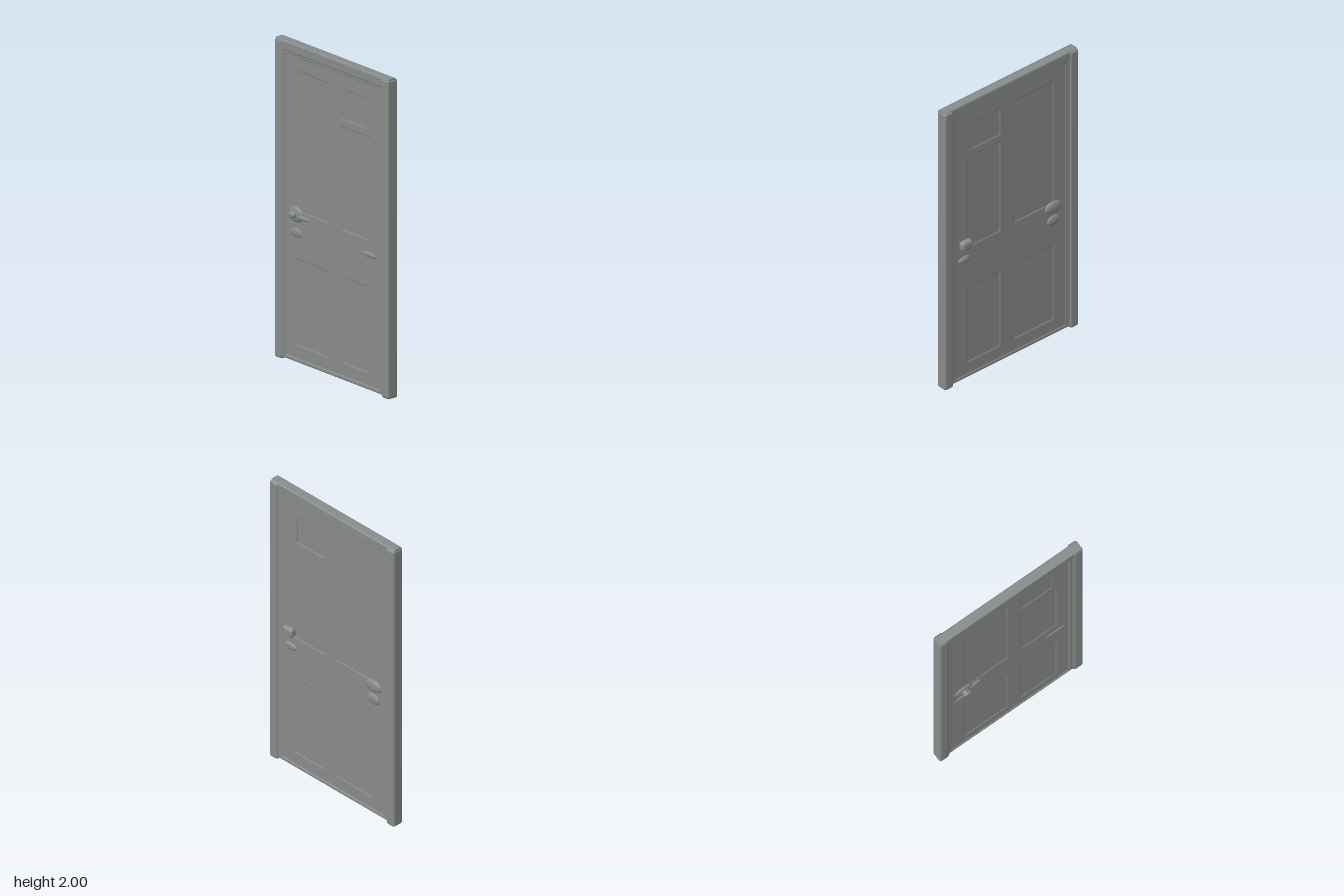
import * as THREE from 'three';
import { RoundedBoxGeometry } from 'three/addons/geometries/RoundedBoxGeometry.js';

const grey = new THREE.MeshStandardMaterial({ color: 0x878b89 });
grey.name = 'grey paint';

function add(group, name, geometry, x = 0, y = 0, z = 0) {
  const mesh = new THREE.Mesh(geometry, grey);
  mesh.name = name;
  mesh.position.set(x, y, z);
  group.add(mesh);
  return mesh;
}

function rectPath(path, x0, y0, x1, y1) {
  path.moveTo(x0, y0);
  path.lineTo(x1, y0);
  path.lineTo(x1, y1);
  path.lineTo(x0, y1);
  path.closePath();
  return path;
}

// Inverted U shape: two legs and a head, open at the bottom
function archShape(outer, top, inner, head, bottom) {
  const s = new THREE.Shape();
  s.moveTo(-outer, bottom);
  s.lineTo(-inner, bottom);
  s.lineTo(-inner, head);
  s.lineTo(inner, head);
  s.lineTo(inner, bottom);
  s.lineTo(outer, bottom);
  s.lineTo(outer, top);
  s.lineTo(-outer, top);
  s.closePath();
  return s;
}

// Extrusion whose bevel stays inside the z range z0..z1
function extrude(shape, z0, z1, bevel) {
  const g = new THREE.ExtrudeGeometry(shape, {
    depth: z1 - z0 - 2 * bevel, bevelThickness: bevel, bevelSize: bevel,
    bevelOffset: -bevel, bevelSegments: 3
  });
  return g.translate(0, 0, z0 + bevel);
}

function ball(rx, ry, rz) {
  return new THREE.SphereGeometry(1, 28, 18).scale(rx, ry, rz);
}

export function createModel() {
  const model = new THREE.Group();
  model.name = 'door';

  // Door frame: head, thicker side jambs and an inner stop bead
  add(model, 'frame', extrude(archShape(0.52, 2, 0.45, 1.935, 0.012), -0.041, 0.023, 0.01));
  add(model, 'stopBead', extrude(archShape(0.47, 1.95, 0.428, 1.918, 0.016), -0.036, 0.017, 0.006));
  for (const side of [-1, 1]) {
    add(model, side < 0 ? 'rightJamb' : 'leftJamb',
      new RoundedBoxGeometry(0.066, 1.994, 0.077, 4, 0.014), side * 0.492, 0.997, -0.011);
  }

  // Door leaf: core with shallow stile-and-rail layers on both faces
  add(model, 'leafCore', new THREE.BoxGeometry(0.9, 1.93, 0.034), 0, 0.98, -0.01);
  const layer = rectPath(new THREE.Shape(), -0.445, 0.013, 0.445, 1.945);
  const panels = [
    [-0.335, 0.96, -0.03, 1.83], [0.08, 0.95, 0.335, 1.59], [0.08, 1.645, 0.305, 1.825],
    [-0.335, 0.12, -0.03, 0.65], [0.08, 0.12, 0.335, 0.65]
  ];
  for (const p of panels) layer.holes.push(rectPath(new THREE.Path(), ...p));
  const facing = new THREE.ExtrudeGeometry(layer, {
    depth: 0.001, bevelThickness: 0.003, bevelSize: 0.012, bevelOffset: -0.012, bevelSegments: 3
  });
  add(model, 'frontFacing', facing, 0, 0, 0.008);
  add(model, 'backFacing', facing, 0, 0, -0.029);

  // Bottom rail
  add(model, 'bottomRail', new RoundedBoxGeometry(0.93, 0.028, 0.054, 3, 0.01), 0, 0.025, -0.01);

  // Front handle: soft rose, neck, knob, short lever and lower plate
  const front = new THREE.Group();
  front.name = 'frontHandle';
  front.position.set(-0.342, 0.935, 0.012);
  add(front, 'rose', ball(0.066, 0.05, 0.016));
  add(front, 'neck', new THREE.CylinderGeometry(0.014, 0.026, 0.034, 24).rotateX(Math.PI / 2), 0, 0, 0.02);
  add(front, 'knob', ball(0.029, 0.021, 0.014), 0.004, 0.004, 0.034);
  add(front, 'lever', ball(0.065, 0.015, 0.012), 0.06, -0.01, 0.004);
  add(front, 'lockPlate', ball(0.058, 0.028, 0.009), 0, -0.115, 0);
  model.add(front);

  // Ledge on the front, opposite the back knob
  add(model, 'frontLedge', ball(0.075, 0.016, 0.009), 0.335, 0.856, 0.011);

  // Back knob with its lower plate
  const back = new THREE.Group();
  back.name = 'backHandle';
  back.position.set(0.36, 0.985, -0.032);
  add(back, 'knob', new RoundedBoxGeometry(0.085, 0.062, 0.044, 5, 0.019), 0, 0, -0.014);
  add(back, 'lockPlate', ball(0.05, 0.026, 0.014), 0, -0.115, 0);
  model.add(back);

  // Low escutcheon on the back, behind the front handle
  add(model, 'backRose', ball(0.068, 0.042, 0.019), -0.338, 0.93, -0.032);
  add(model, 'backLockPlate', ball(0.05, 0.036, 0.014), -0.338, 0.835, -0.032);

  return model;
}
